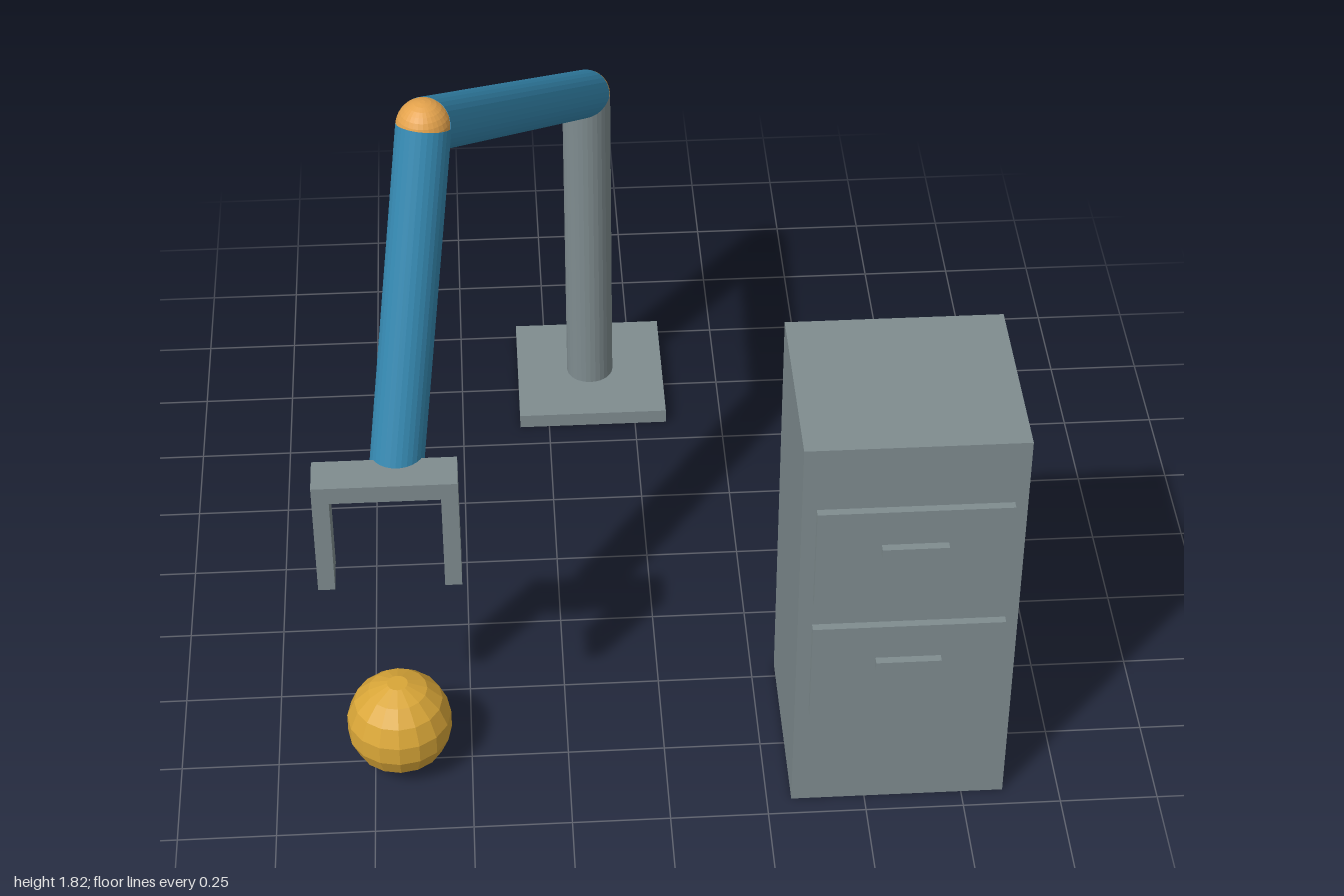
import * as THREE from 'three';

const mat = (name, color) => {
  const m = new THREE.MeshStandardMaterial({ color, flatShading: true });
  m.name = name;
  return m;
};

export function createModel() {
  const model = new THREE.Group();
  model.name = 'robotArmScene';
  const grey = mat('steelGrey', 0x7f8c8f);
  const blue = mat('armBlue', 0x3588b0);
  const orange = mat('jointOrange', 0xe3a24c);
  const gold = mat('ballGold', 0xd9a638);

  const add = (name, geometry, material, x, y, z, parent = model) => {
    const mesh = new THREE.Mesh(geometry, material);
    mesh.name = name;
    mesh.position.set(x, y, z);
    parent.add(mesh);
    return mesh;
  };
  // Box given by its lower and upper limits on each axis
  const box = (name, x0, x1, y0, y1, z0, z1, parent) =>
    add(name, new THREE.BoxGeometry(x1 - x0, y1 - y0, z1 - z0), grey,
      (x0 + x1) / 2, (y0 + y1) / 2, (z0 + z1) / 2, parent);
  // Round bar between two points
  const R = 0.067;
  const bar = (name, a, b, material) => {
    const mid = a.clone().lerp(b, 0.5);
    const mesh = add(name, new THREE.CylinderGeometry(R, R, a.distanceTo(b), 30), material, mid.x, mid.y, mid.z);
    mesh.quaternion.setFromUnitVectors(new THREE.Vector3(0, 1, 0), b.clone().sub(a).normalize());
  };
  // Faceted ball with small flat poles
  const ball = (r, sides) => {
    const rings = sides / 2;
    const pts = [new THREE.Vector2(0, -r * Math.cos(Math.PI / sides))];
    for (let i = 0; i < rings; i++) {
      const t = (i + 0.5) * Math.PI / rings;
      pts.push(new THREE.Vector2(r * Math.sin(t), -r * Math.cos(t)));
    }
    pts.push(new THREE.Vector2(0, r * Math.cos(Math.PI / sides)));
    return new THREE.LatheGeometry(pts, sides);
  };

  // Arm: base, column and two links
  const foot = new THREE.Vector3(-0.122, 0.04, -0.788);
  const shoulder = new THREE.Vector3(-0.122, 1.02, -0.788);
  const elbow = new THREE.Vector3(-0.553, 1.75, 0.397);
  const wrist = new THREE.Vector3(-0.655, 0.922, 0.675);
  box('basePlate', -0.334, 0.09, 0, 0.042, -1, -0.576);
  bar('column', foot, shoulder, grey);
  bar('upperArm', shoulder, elbow, blue);
  bar('forearm', elbow, wrist, blue);
  add('shoulderJoint', ball(R - 0.0005, 30), orange, ...shoulder.toArray());
  add('elbowJoint', ball(R - 0.0005, 30), orange, ...elbow.toArray());
  add('wristPivot', ball(0.034, 16), grey, ...wrist.toArray());

  // Gripper: crossbar with two fingers
  const gripper = new THREE.Group();
  gripper.name = 'gripper';
  model.add(gripper);
  box('gripperBar', -0.86, -0.505, 0.924, 0.972, 0.693, 0.795, gripper);
  box('rightFinger', -0.86, -0.818, 0.645, 0.924, 0.693, 0.795, gripper);
  box('leftFinger', -0.547, -0.505, 0.645, 0.924, 0.693, 0.795, gripper);

  // Ball below the gripper
  add('ball', ball(0.136, 16), gold, -0.682, 0.135, 0.744);

  // Cabinet with two drawers
  const cabinet = new THREE.Group();
  cabinet.name = 'cabinet';
  model.add(cabinet);
  box('cabinetBody', 0.313, 0.857, 0, 1.163, 0.455, 0.95, cabinet);
  for (const [name, y] of [['lowerDrawer', 0.471], ['upperDrawer', 0.843]]) {
    box(name + 'Front', 0.347, 0.823, y - 0.145, y + 0.145, 0.96, 0.98, cabinet);
    box(name + 'Handle', 0.505, 0.667, y + 0.017, y + 0.043, 0.98, 1, cabinet);
  }
  return model;
}
